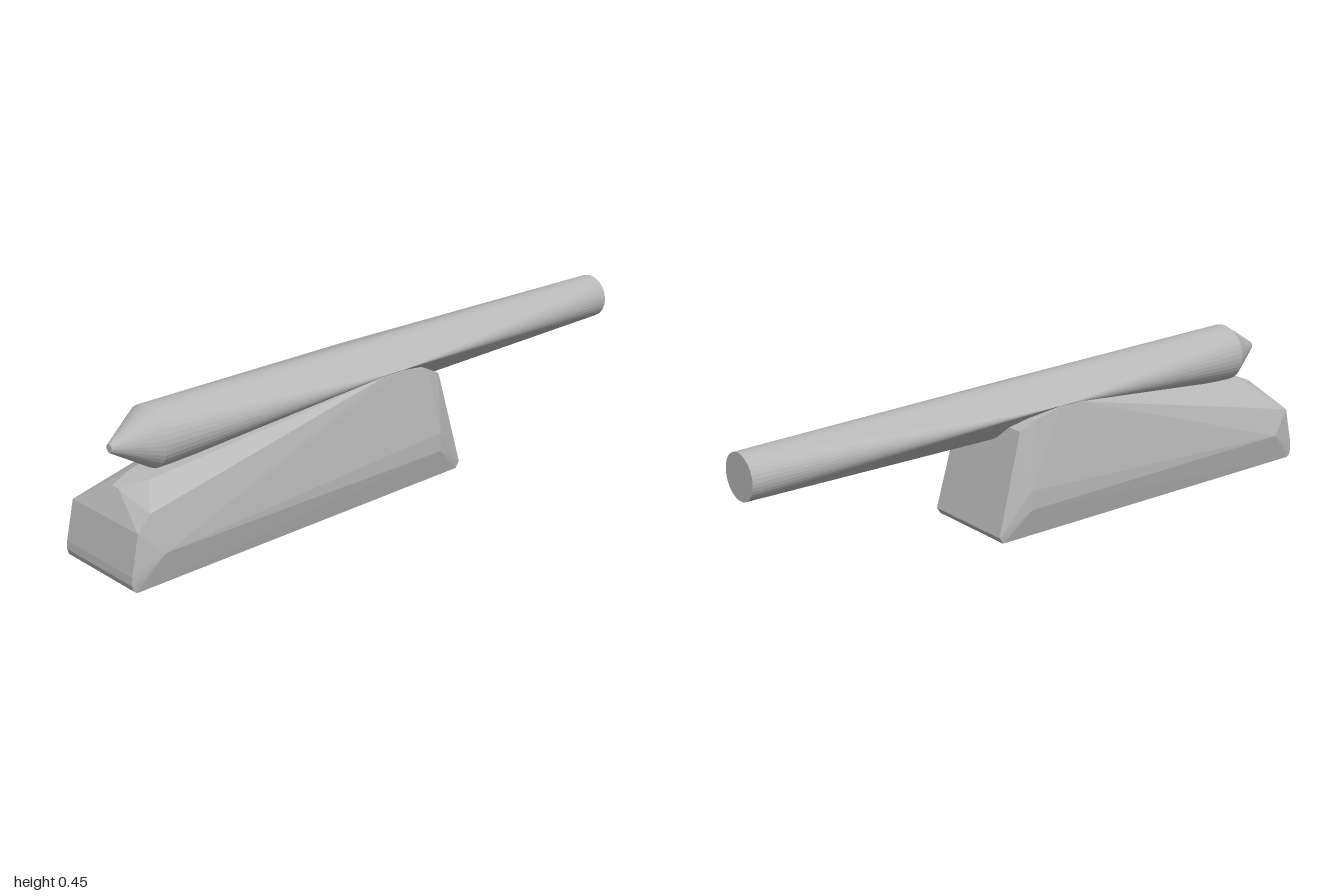
import * as THREE from 'three';
import { ConvexGeometry } from 'three/addons/geometries/ConvexGeometry.js';

export function createModel() {
  const group = new THREE.Group();
  const grey = new THREE.MeshStandardMaterial({ color: 0xb8b8b8, flatShading: true });

  const addHull = (name, points) => {
    const mesh = new THREE.Mesh(new ConvexGeometry(points), grey);
    mesh.name = name;
    group.add(mesh);
  };
  const v = (x, y, z) => new THREE.Vector3(x, y, z);
  const mirrored = (list) => list.flatMap(([x, y, z]) => [v(x, y, z), v(-x, y, z)]);
  const ring = (radius, y, z, sides = 36) => Array.from({ length: sides }, (_, i) => {
    const a = (i / sides) * Math.PI * 2;
    return v(Math.cos(a) * radius, y + Math.sin(a) * radius, z);
  });

  // Faceted wedge base: low nose, bulging flanks, high sloped back
  addHull('base', [
    ...mirrored([
      [0.155, 0, 0.985], [0.155, 0.008, 0.995], [0.155, 0.025, 1], // nose bottom
      [0.155, 0.05, 0.998], [0.153, 0.17, 0.972],                  // nose face
      [0.015, 0.245, 0.932],                                       // nose crown
      [0.178, 0.1, 0.9], [0.178, 0.16, -0.13], [0.178, 0.1, -0.13],// flanks
      [0.155, 0.01, -0.222], [0.155, 0.03, -0.235],                // rear bottom
      [0.145, 0.34, -0.15], [0.15, 0.365, -0.1],                   // rear top
      [0.151, 0.388, 0], [0.15, 0.384, 0.09],                      // shoulders
    ]),
    // uneven chamfer on the left of the nose
    v(0.153, 0.215, 0.93), v(0.07, 0.27, 0.87), v(-0.02, 0.27, 0.87),
  ]);

  // Tapered round bar, widened at the shoulders, with a conical front
  addHull('bar', [
    ...ring(0.07, 0.362, -1),
    ...ring(0.091, 0.362, 0.82),
    ...ring(0.013, 0.361, 0.945, 12),
    ...mirrored([[0.15, 0.389, 0.03], [0.15, 0.389, -0.02]]),
  ]);

  return group;
}
